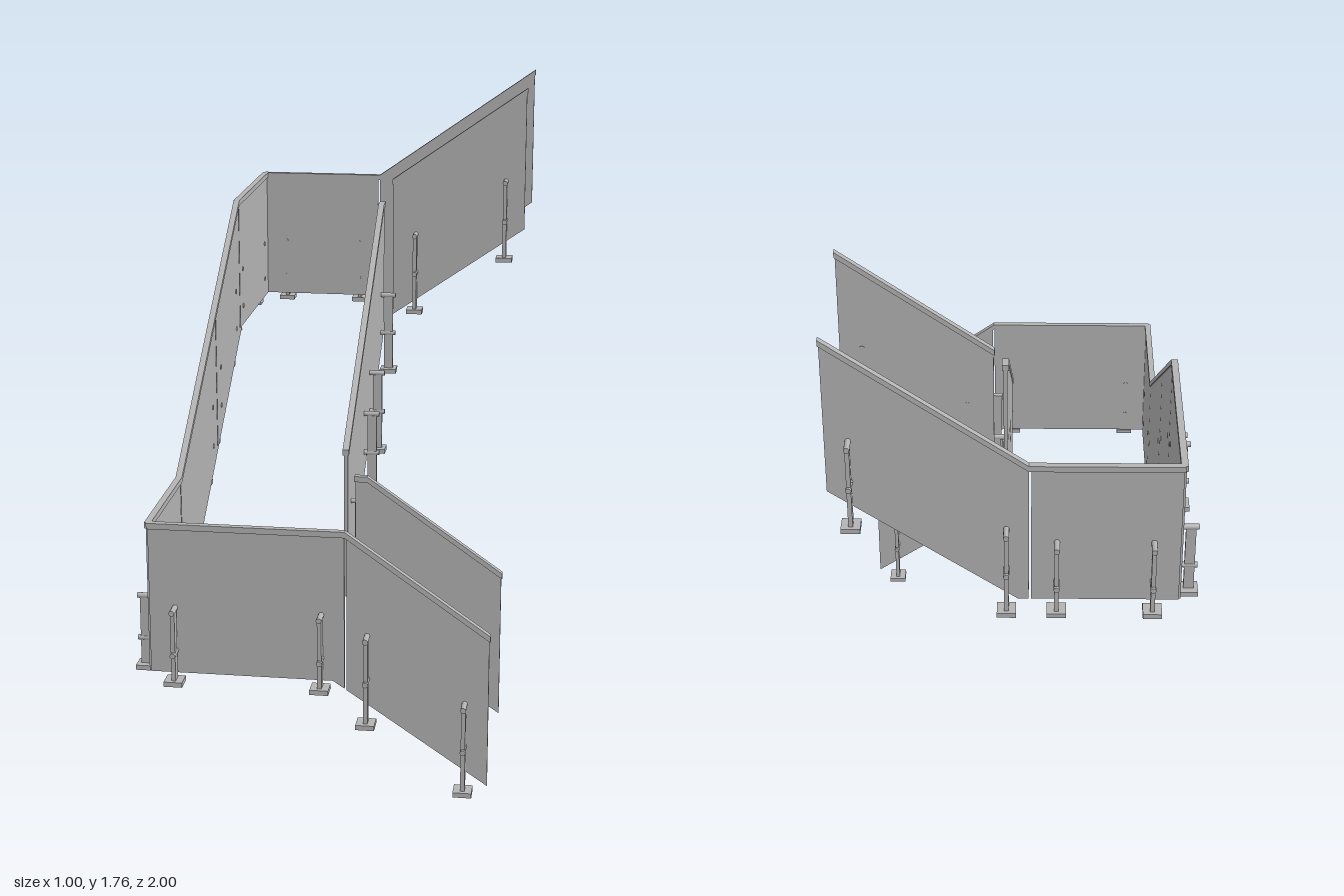
import * as THREE from 'three';

const steel = new THREE.MeshStandardMaterial({ color: 0xb4b4b4 });
steel.name = 'light grey';

// Height of a piecewise linear line at u
function heightAt(line, u) {
  for (let i = 1; i < line.length; i++) {
    const [u0, y0] = line[i - 1], [u1, y1] = line[i];
    if (u <= u1 || i === line.length - 1) return y0 + (y1 - y0) * (u - u0) / (u1 - u0);
  }
}

// Points of a line between a and b, with the ends cut to fit
function cut(line, a, b, dy = 0) {
  const inner = line.filter(([u]) => u > a + 1e-4 && u < b - 1e-4);
  return [[a, heightAt(line, a)], ...inner, [b, heightAt(line, b)]].map(([u, y]) => new THREE.Vector2(u, y + dy));
}

// Flat plate between a lower and an upper outline, centred on local z
function plate(lower, upper, depth, name) {
  const shape = new THREE.Shape([...lower, ...upper.reverse()]);
  const geo = new THREE.ExtrudeGeometry(shape, { depth, bevelEnabled: false });
  geo.translate(0, 0, -depth / 2);
  const mesh = new THREE.Mesh(geo, steel);
  mesh.name = name;
  return mesh;
}

// Bracket post: foot plate, upright bar and two clamping pins through the panel
function post(u, foot, rise, side) {
  const g = new THREE.Group();
  g.name = 'post';
  const add = (geo, name, y, z) => {
    const m = new THREE.Mesh(geo, steel);
    m.name = name;
    m.position.set(0, y, z * side);
    g.add(m);
    return m;
  };
  add(new THREE.BoxGeometry(0.052, 0.014, 0.052), 'footPlate', 0.007, 0.031);
  add(new THREE.BoxGeometry(0.012, rise, 0.028), 'upright', rise / 2, 0.031);
  for (const y of [rise - 0.004, rise - 0.13]) {
    const pin = add(new THREE.CylinderGeometry(0.008, 0.008, 0.06, 12), 'clampPin', y, 0.023);
    pin.rotation.x = Math.PI / 2;
  }
  g.position.set(u, foot, 0);
  return g;
}

const CAP = 0.017;

// One straight railing run: panels between seams, handrail and posts
function run(name, { top, bottom, seams, posts, side }) {
  const g = new THREE.Group();
  g.name = name;
  const a = seams[0], b = seams[seams.length - 1];
  for (let i = 1; i < seams.length; i++) {
    const s = seams[i - 1] + (i > 1 ? 0.003 : 0);
    const e = seams[i] - (i < seams.length - 1 ? 0.003 : 0);
    g.add(plate(cut(bottom, s, e), cut(top, s, e, -CAP), 0.011, 'panel'));
  }
  g.add(plate(cut(top, a - 0.003, b + 0.003, -CAP), cut(top, a - 0.003, b + 0.003), 0.019, 'handrail'));
  for (const [u, foot, rise = 0.262] of posts) g.add(post(u, foot, rise, side));
  return g;
}

export function createModel() {
  const model = new THREE.Group();
  model.name = 'stairRailing';

  // Outlines of the lower flight, middle flight and upper flight
  const lower = {
    top: [[-0.46, 0.747], [0.093, 0.747], [0.498, 0.462]],
    bottom: [[-0.46, 0.31], [0.06, 0.31], [0.49, 0.02]],
  };
  const middle = {
    top: [[-0.955, 1.392], [-0.4, 1.392], [0.544, 0.747], [0.955, 0.747]],
    bottom: [[-0.955, 0.96], [-0.435, 0.96], [0.507, 0.31], [0.955, 0.31]],
  };
  const upper = {
    top: [[-0.46, 1.392], [-0.045, 1.392], [0.49, 1.767]],
    bottom: [[-0.46, 0.96], [-0.015, 0.96], [0.49, 1.31]],
  };
  const flat = 0.22;

  // Runs along x
  const alongX = (z, g) => { g.position.z = z; model.add(g); };
  alongX(0.94, run('lowerOuterRailing', {
    ...lower, seams: [-0.452, 0.095, 0.49], side: 1,
    posts: [[-0.38, 0.287, flat], [0.028, 0.287, flat], [0.155, 0.19], [0.425, 0.005]],
  }));
  alongX(0.46, run('lowerInnerRailing', {
    ...lower, seams: [0.058, 0.49], side: -1,
    posts: [[0.135, 0.19], [0.425, 0.005]],
  }));
  alongX(-0.945, run('upperOuterRailing', {
    ...upper, seams: [-0.452, -0.048, 0.487], side: -1,
    posts: [[-0.38, 0.933, flat], [-0.12, 0.933, flat], [0.015, 0.933], [0.425, 1.207]],
  }));
  alongX(-0.468, run('upperInnerRailing', {
    ...upper, seams: [0.058, 0.487], side: 1,
    posts: [[0.133, 1.025], [0.425, 1.207]],
  }));

  // Runs along z, turned so that local x follows z
  const alongZ = (x, g) => { g.rotation.y = -Math.PI / 2; g.position.x = x; model.add(g); };
  alongZ(-0.452, run('middleOuterRailing', {
    ...middle, seams: [-0.945, -0.405, 0, 0.545, 0.94], side: 1,
    posts: [[-0.875, 0.933, flat], [-0.465, 0.933, flat], [-0.34, 0.842], [-0.07, 0.657],
      [0.065, 0.562], [0.475, 0.29], [0.61, 0.287, flat], [0.867, 0.287, flat]],
  }));
  alongZ(0.026, run('middleInnerRailing', {
    ...middle, seams: [-0.437, 0, 0.437], side: -1,
    posts: [[-0.355, 0.842], [-0.068, 0.657], [0.065, 0.562], [0.36, 0.377]],
  }));
  return model;
}
